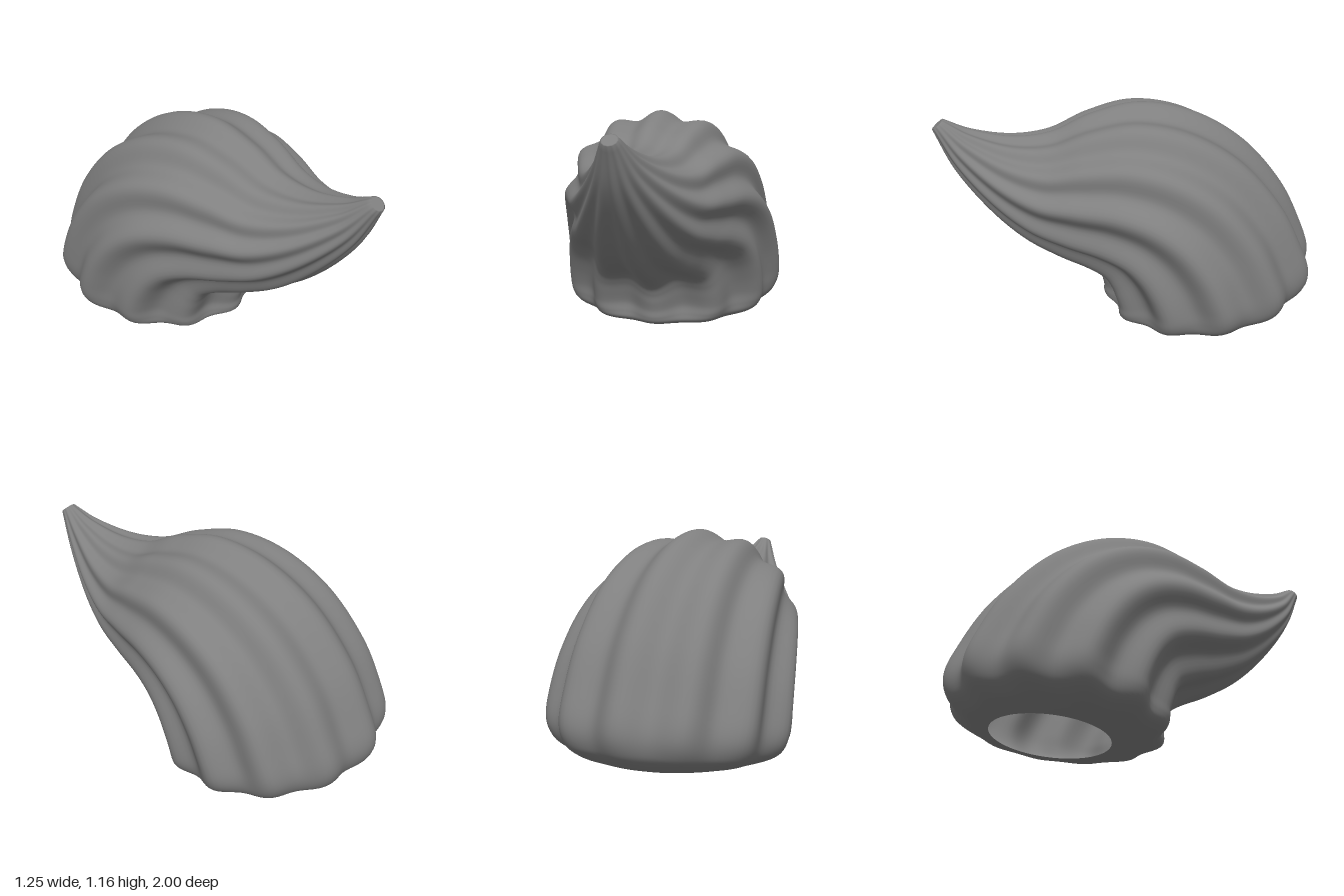
import * as THREE from 'three';

const RIDGES = 12, AROUND = 144, ALONG = 112;

// Stations from the tip to the base opening:
// [upper z, upper y, lower z, lower y, half width]
const stations = [
  [0.94, 1.10, 1.00, 1.05, 0.04],
  [0.80, 1.04, 0.90, 0.83, 0.12],
  [0.60, 1.00, 0.74, 0.62, 0.235],
  [0.40, 1.02, 0.57, 0.46, 0.335],
  [0.20, 1.11, 0.40, 0.355, 0.415],
  [-0.05, 1.165, 0.26, 0.29, 0.49],
  [-0.33, 1.11, 0.185, 0.245, 0.55],
  [-0.60, 0.95, 0.16, 0.20, 0.59],
  [-0.82, 0.70, 0.15, 0.155, 0.615],
  [-0.95, 0.45, 0.14, 0.11, 0.625],
  [-1.00, 0.30, 0.14, 0.07, 0.615],
  [-0.975, 0.19, 0.125, 0.04, 0.575],
  [-0.90, 0.12, 0.07, 0.022, 0.50],
  [-0.83, 0.085, -0.04, 0.010, 0.40],
  [-0.76, 0.06, -0.15, 0.002, 0.31],
];

const curve = (points) => new THREE.CatmullRomCurve3(points, false, 'catmullrom', 0.5);

// Scalloped skin: ridged ellipses lofted between the upper and lower profiles
function ridgedShell() {
  const upper = curve(stations.map(([z, y, , , w]) => new THREE.Vector3(w, y, z)));
  const lower = curve(stations.map(([, , z, y]) => new THREE.Vector3(0, y, z)));
  const positions = [], indices = [];
  const { smoothstep } = THREE.MathUtils;

  const addRing = (t, scale) => {
    const a = upper.getPoint(t), b = lower.getPoint(t);
    const cy = (a.y + b.y) / 2, cz = (a.z + b.z) / 2;
    // the scallops fade out at the tip and towards the round opening
    const depth = 0.1 * smoothstep(t, -0.05, 0.08) * (1 - smoothstep(t, 0.62, 1));
    for (let j = 0; j < AROUND; j++) {
      const angle = (j / AROUND) * Math.PI * 2;
      const r = scale * (1 - depth * (0.5 - 0.5 * Math.cos(RIDGES * angle)));
      const c = Math.cos(angle) * r, s = Math.sin(angle) * r;
      positions.push(a.x * s, cy + (a.y - cy) * c, cz + (a.z - cz) * c);
    }
  };

  // blunt tip, then the body
  addRing(0, 0.001);
  addRing(0, 0.85);
  for (let i = 0; i <= ALONG; i++) addRing(i / ALONG, 1);

  for (let i = 0; i < ALONG + 2; i++) {
    for (let j = 0; j < AROUND; j++) {
      const k = (j + 1) % AROUND;
      const p = i * AROUND + j, q = i * AROUND + k;
      indices.push(p, q, p + AROUND, q, q + AROUND, p + AROUND);
    }
  }

  const geometry = new THREE.BufferGeometry();
  geometry.setAttribute('position', new THREE.Float32BufferAttribute(positions, 3));
  geometry.setIndex(indices);
  geometry.computeVertexNormals();
  return geometry;
}

export function createModel() {
  const group = new THREE.Group();
  group.name = 'ridgedHorn';

  // Hollow shell, open underneath
  const shell = new THREE.Mesh(
    ridgedShell(),
    new THREE.MeshStandardMaterial({ color: 0x808080, side: THREE.DoubleSide }),
  );
  shell.name = 'ridgedShell';
  group.add(shell);
  return group;
}
